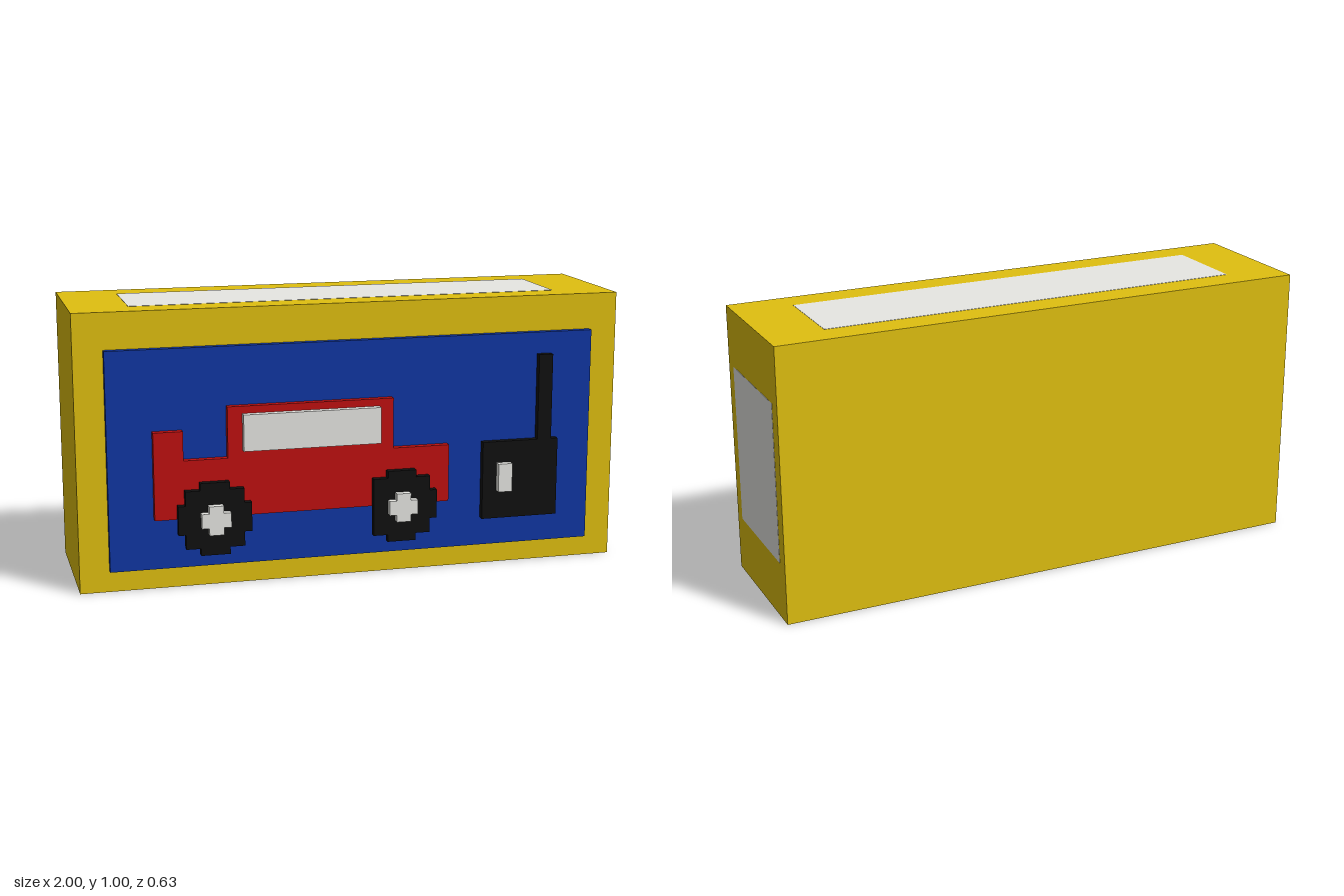
import * as THREE from 'three';

const U = 1 / 38; // one grid cell

const mat = (name, color) => {
  const m = new THREE.MeshStandardMaterial({ color });
  m.name = name;
  return m;
};

export function createModel() {
  const yellow = mat('yellow', 0xe0c010);
  const blue = mat('blue', 0x1036a4);
  const red = mat('red', 0xc01010);
  const black = mat('black', 0x101010);
  const white = mat('offWhite', 0xf0f0ec);

  const model = new THREE.Group();
  model.name = 'toyCarBox';

  // Box between two corners, in grid cells
  function block(name, material, [x0, y0, z0], [x1, y1, z1]) {
    const geo = new THREE.BoxGeometry((x1 - x0) * U, (y1 - y0) * U, (z1 - z0) * U);
    geo.translate(((x0 + x1) / 2) * U, ((y0 + y1) / 2) * U, ((z0 + z1) / 2) * U);
    const mesh = new THREE.Mesh(geo, material);
    mesh.name = name;
    model.add(mesh);
  }

  // Stepped outline, in grid cells, raised one cell from layer z
  function plate(name, material, points, z) {
    const shape = new THREE.Shape(points.map(([x, y]) => new THREE.Vector2(x * U, y * U)));
    const geo = new THREE.ExtrudeGeometry(shape, { depth: U, bevelEnabled: false });
    geo.translate(0, 0, z * U);
    const mesh = new THREE.Mesh(geo, material);
    mesh.name = name;
    model.add(mesh);
  }

  // Stepped disc outline from the half-widths of its rows, middle row first
  function disc(cx, cy, halfWidths, minX = -Infinity) {
    const side = [];
    const n = halfWidths.length;
    for (let r = -n; r < n; r++) {
      const w = halfWidths[r < 0 ? -r - 1 : r];
      side.push([w, r], [w, r + 1]);
    }
    const right = side.map(([w, y]) => [cx + w, cy + y]);
    const left = side.map(([w, y]) => [Math.max(cx - w, minX), cy + y]).reverse();
    // Drop repeated and collinear points
    const all = [...right, ...left];
    return all.filter((p, i) => {
      const a = all[(i + all.length - 1) % all.length];
      const b = all[(i + 1) % all.length];
      return (p[0] - a[0]) * (b[1] - p[1]) !== (p[1] - a[1]) * (b[0] - p[0]);
    });
  }

  // Package with flush labels on the top and left side
  const skin = 0.04;
  block('package', yellow, [-38, 0, -12], [38, 38, 8]);
  block('topLabel', white, [-30, 38 - skin, -8], [30, 38 + skin, 4]);
  block('sideLabel', white, [38 - skin, 8, -10], [38 + skin, 30, 6]);
  block('frontPanel', blue, [-34, 3, 8], [34, 33, 9]);

  // Car
  plate('carBody', red, [
    [-28, 10], [13, 10], [13, 18], [5, 18], [5, 25], [-18, 25],
    [-18, 18], [-24, 18], [-24, 22], [-28, 22],
  ], 9);
  block('carWindow', white, [-16, 19, 10], [3, 24, 11]);
  for (const [name, x, minX] of [['rear', -20, -25], ['front', 6, 2]]) {
    plate(name + 'Wheel', black, disc(x, 10, [5, 5, 4, 4, 2], minX), 10);
    plate(name + 'Hub', white, disc(x, 10, [2, 1]), 11);
  }

  // Remote control with antenna
  plate('remoteControl', black, [
    [18, 7], [29, 7], [29, 18], [28, 18], [28, 30], [26, 30], [26, 18], [18, 18],
  ], 9);
  block('remoteButton', white, [20, 11, 10], [22, 15, 11]);

  return model;
}
